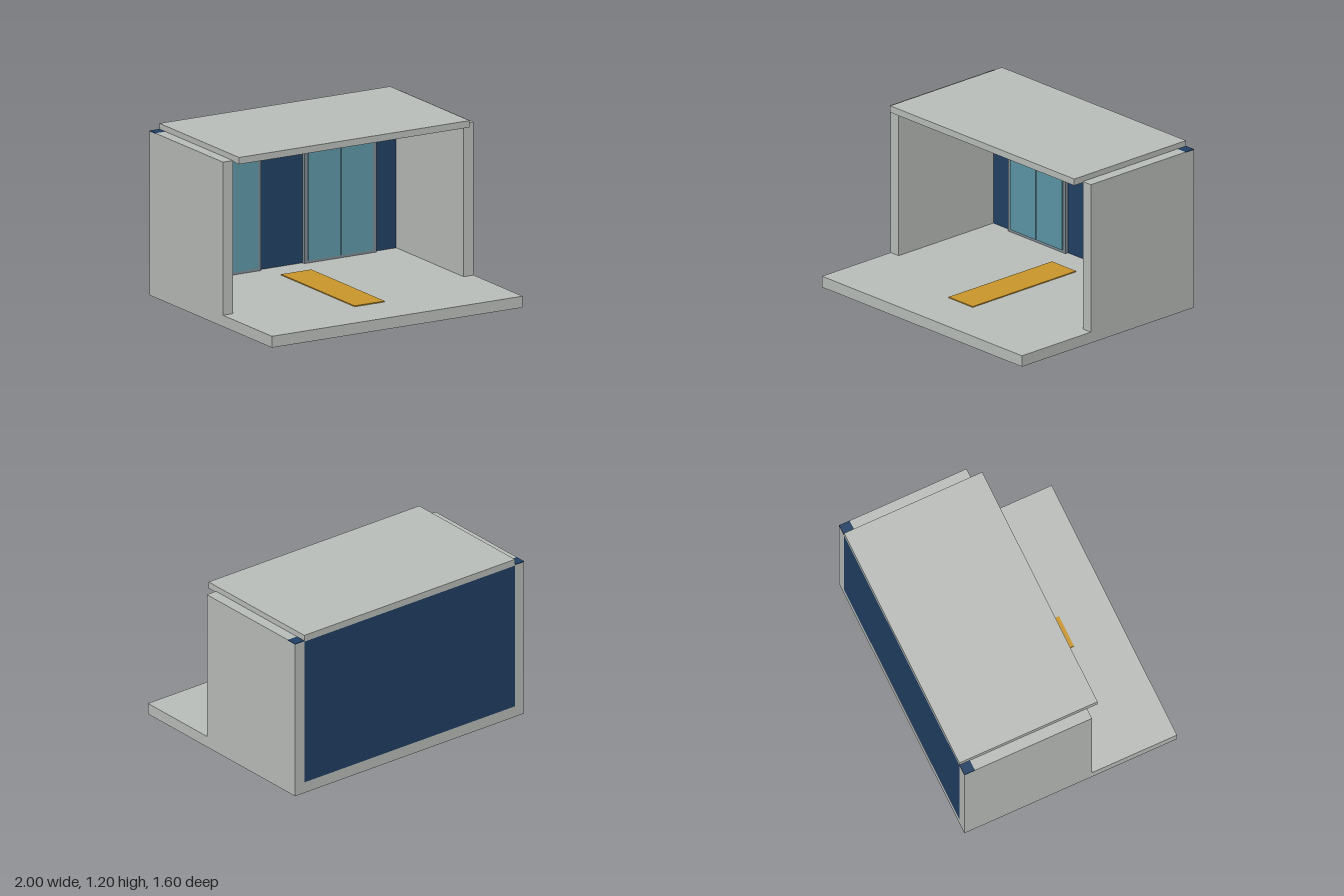
import * as THREE from 'three';

const paint = (name, color) => {
  const m = new THREE.MeshStandardMaterial({ color });
  m.name = name;
  return m;
};

export function createModel() {
  const concrete = paint('concrete', 0xbcc0bc);
  const navy = paint('navy', 0x224166);
  const steel = paint('steel', 0x7f8b94);
  const glass = paint('glass', 0x5e98a8);
  const amber = paint('amber', 0xcc982c);
  const dark = paint('dark gap', 0x2f4650);

  const model = new THREE.Group();
  model.name = 'elevatorLobby';

  // Box given by its lower and upper limits on each axis
  const box = (name, material, [x0, x1], [y0, y1], [z0, z1], parent = model) => {
    const mesh = new THREE.Mesh(new THREE.BoxGeometry(x1 - x0, y1 - y0, z1 - z0), material);
    mesh.position.set((x0 + x1) / 2, (y0 + y1) / 2, (z0 + z1) / 2);
    mesh.name = name;
    parent.add(mesh);
    return mesh;
  };

  // Shell
  box('floor', concrete, [-1, 1], [0, 0.08], [-0.8, 0.8]);
  box('backWall', navy, [-0.92, 0.92], [0.08, 1.152], [-0.8, -0.72]);
  box('roof', concrete, [-0.92, 0.92], [1.152, 1.2], [-0.8, 0.24]);
  box('floorStrip', amber, [-0.12, 0.12], [0.08, 0.087], [-0.52, 0.44]);

  for (const side of [-1, 1]) {
    const label = side > 0 ? 'left' : 'right';
    const span = (a, b) => (side > 0 ? [a, b] : [-b, -a]);

    // Side wall, with the end of the back wall showing on its top
    box(label + 'WallFront', concrete, span(0.92, 1), [0.08, 1.16], [-0.72, 0.16]);
    box(label + 'WallCorner', concrete, span(0.92, 1), [0.08, 1.155], [-0.8, -0.72]);
    box(label + 'WallCornerCap', navy, span(0.92, 1), [1.155, 1.16], [-0.8, -0.72]);

    // Elevator entrance
    const door = new THREE.Group();
    door.name = label + 'Entrance';
    door.position.x = side * 0.46;
    model.add(door);
    box('doorFrame', steel, [-0.288, 0.288], [0.08, 1], [-0.72, -0.695], door);
    box('doorGap', dark, [-0.004, 0.004], [0.1, 0.94], [-0.695, -0.692], door);
    for (const s of [-1, 1]) {
      const mid = s * 0.132;
      box('doorPanel', glass, [mid - 0.128, mid + 0.128], [0.1, 0.94], [-0.695, -0.687], door);
    }
    box('floorIndicator', navy, [-0.08, 0.08], [1.002, 1.074], [-0.72, -0.7], door);
  }
  return model;
}
